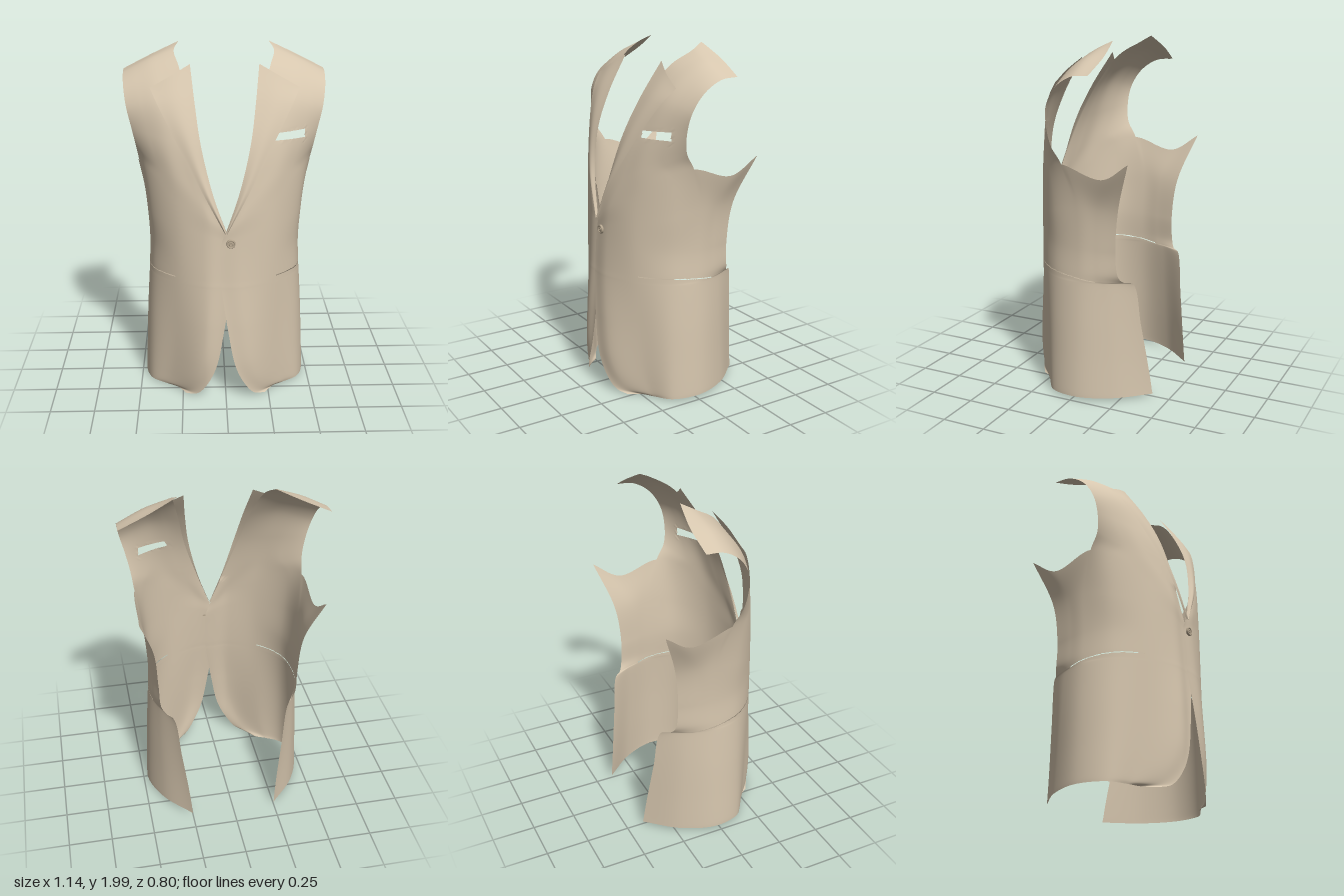
import * as THREE from 'three';

const fabric = new THREE.MeshStandardMaterial({ color: 0xd6c6ae, side: THREE.DoubleSide });
fabric.name = 'tanFabric';
const horn = new THREE.MeshStandardMaterial({ color: 0xb5a68f });
horn.name = 'buttonHorn';

const V = (x, y, z) => new THREE.Vector3(x, y, z);
const spline = pts => new THREE.CatmullRomCurve3(pts, false, 'centripetal');
const mix = THREE.MathUtils.lerp;

// One body section, from the front edge round the side to the back edge.
// The row climbs by "rise" between the front edge and the side.
function section(y, frontX, frontZ, sideX, backX, backZ, rise = 0) {
  return [
    [frontX, frontZ],
    [.11 + .75 * frontX, frontZ - .013 - .25 * frontX],
    [.28 + .3 * frontX, .275 - .3 * frontX],
    [sideX - .037, .14],
    [sideX, -.025],
    [mix(sideX, backX, .32), .55 * backZ],
    [backX, backZ],
  ].map(([x, z], k) => V(x, y + rise * Math.min(k / 4, 1), z));
}

// Chest row from the neck edge, over the middle, to the armhole.
function chestRow(neck, middle, armhole) {
  return spline([V(...neck), V(...middle), V(...armhole)]).getPoints(4);
}

// Lapel row from the inner to the outer edge, slightly bulged.
function lapelRow(inner, outer) {
  const a = V(...inner), b = V(...outer);
  return [a, a.clone().lerp(b, .5).add(V(0, 0, .011)), b];
}

// Hem, rounded front corner, vent step at the back, and waist
const bodyRows = [
  section(.008, .23, .315, .475, .25, -.40, .015),
  section(.03, .165, .355, .475, .252, -.397, .01),
  section(.10, .11, .383, .473, .257, -.39),
  section(.22, .055, .40, .468, .27, -.375),
  section(.45, .01, .395, .458, .30, -.345),
  section(.69, -.025, .376, .443, .333, -.312),
  section(.705, -.026, .375, .442, .37, -.268),
  section(.74, -.028, .372, .441, .395, -.248),
  section(.88, -.03, .363, .437, .405, -.237),
  section(.96, -.025, .358, .452, .425, -.262, .16),
];
// Break point across the chest, then along the bottom of the armhole
const breakRow = section(1.03, 0, .358, .483, .51, -.355, .325);
breakRow[3].set(.42, 1.315, .155);
breakRow[4].z = .045;
breakRow[5].y = 1.293;
breakRow[6].y = 1.39;

// Chest and shoulder
const chestRows = [
  chestRow([.08, 1.25, .335], [.29, 1.33, .265], [.495, 1.45, .10]),
  chestRow([.16, 1.50, .27], [.33, 1.52, .222], [.517, 1.56, .115]),
  chestRow([.205, 1.71, .172], [.37, 1.715, .152], [.543, 1.67, .10]),
  chestRow([.25, 1.88, .05], [.40, 1.845, .042], [.56, 1.77, .037]),
  chestRow([.28, 1.955, -.07], [.42, 1.905, -.06], [.567, 1.83, -.06]),
  chestRow([.255, 1.995, -.15], [.41, 1.92, -.17], [.57, 1.84, -.16]),
];
const panelRows = [...bodyRows, breakRow, ...chestRows];

const lapelRows = [
  lapelRow([0, 1.03, .366], [.006, 1.02, .37]),
  lapelRow([.075, 1.25, .338], [.128, 1.25, .348]),
  lapelRow([.135, 1.50, .282], [.26, 1.50, .27]),
  lapelRow([.165, 1.70, .19], [.368, 1.70, .178]),
  lapelRow([.19, 1.90, .065], [.41, 1.78, .115]),
];

// Smooth surface through rows of points; shorter rows end early and leave an opening.
function loft(rows, uSub, vSub, side, adjust = () => {}, isHole = () => false) {
  const curves = rows.map(spline);
  const nu = (rows[0].length - 1) * uSub, nv = (rows.length - 1) * vSub;
  const pos = [], index = [], grid = [];
  for (let i = 0; i <= nu; i++) {
    const u = i / uSub;
    const column = [];
    rows.forEach((r, k) => {
      if (u <= r.length - 1) column.push(curves[k].getPoint(u / (r.length - 1)));
    });
    const curve = spline(column);
    const n = (column.length - 1) * vSub;
    grid.push([]);
    for (let j = 0; j <= n; j++) {
      const p = curve.getPoint(j / n);
      adjust(p);
      p.id = pos.length / 3;
      pos.push(p.x * side, p.y, p.z);
      grid[i].push(p);
    }
  }
  for (let i = 0; i < nu; i++) {
    for (let j = 0; j < nv; j++) {
      const [a, b, c, d] = [grid[i][j], grid[i + 1][j], grid[i + 1][j + 1], grid[i][j + 1]];
      if (!c || !d) continue;
      const mid = V(0, 0, 0).add(a).add(b).add(c).add(d).multiplyScalar(.25);
      if (isHole(mid)) continue;
      if (side > 0) index.push(a.id, b.id, c.id, a.id, c.id, d.id);
      else index.push(a.id, c.id, b.id, a.id, d.id, c.id);
    }
  }
  const g = new THREE.BufferGeometry();
  g.setAttribute('position', new THREE.Float32BufferAttribute(pos, 3));
  g.setIndex(index);
  g.computeVertexNormals();
  return g;
}

// Hip pocket slit, sloping down towards the back
const slitY = z => .735 - .033 * ((.27 - z) / .39) ** 2;
const inSlit = p => p.x > .25 && p.z < .27 && p.z > -.12 && Math.abs(p.y - slitY(p.z)) < .0025;

// Breast pocket opening, on the left side only
const pocket = { x0: .27, x1: .44, low: 1.512, high: x => 1.55 + (x - .27) * .05 };
const inBreastPocket = p =>
  p.x > pocket.x0 && p.x < pocket.x1 && p.z > 0 && p.y > pocket.low && p.y < pocket.high(p.x);

// Pull nearby points onto the pocket's edges so that they run straight.
function snapToPocket(p) {
  if (p.z < 0 || p.x < .24 || p.x > .46 || p.y < 1.49 || p.y > 1.58) return;
  for (const edge of [pocket.low, pocket.high(p.x)]) {
    if (Math.abs(p.y - edge) < .0075) p.y = edge;
  }
  if (Math.abs(p.x - pocket.x1) < .004) p.x = pocket.x1;
}

// The right front tucks under the left where they overlap.
function tuckUnder(p) {
  if (p.z > .2 && p.y < 1.2) p.z -= .012 * (1 - THREE.MathUtils.smoothstep(p.x, .02, .12));
}

export function createModel() {
  const model = new THREE.Group();
  model.name = 'jacketFront';
  const add = (name, geometry, material) => {
    const mesh = new THREE.Mesh(geometry, material);
    mesh.name = name;
    model.add(mesh);
    return mesh;
  };

  // Front panels and lapels
  add('leftFrontPanel', loft(panelRows, 12, 16, 1, snapToPocket,
    p => inSlit(p) || inBreastPocket(p)), fabric);
  add('rightFrontPanel', loft(panelRows, 12, 16, -1, tuckUnder, inSlit), fabric);
  add('leftLapel', loft(lapelRows, 8, 12, 1), fabric);
  add('rightLapel', loft(lapelRows, 8, 12, -1), fabric);

  // Button with a raised rim and a small centre
  const disc = new THREE.CylinderGeometry(.024, .026, .008, 32).rotateX(Math.PI / 2);
  add('button', disc, horn).position.set(.026, .96, .363);
  add('buttonRim', new THREE.TorusGeometry(.021, .004, 8, 32), horn).position.set(.026, .96, .367);
  add('buttonCentre', new THREE.TorusGeometry(.008, .003, 8, 20), horn).position.set(.026, .96, .367);
  return model;
}
